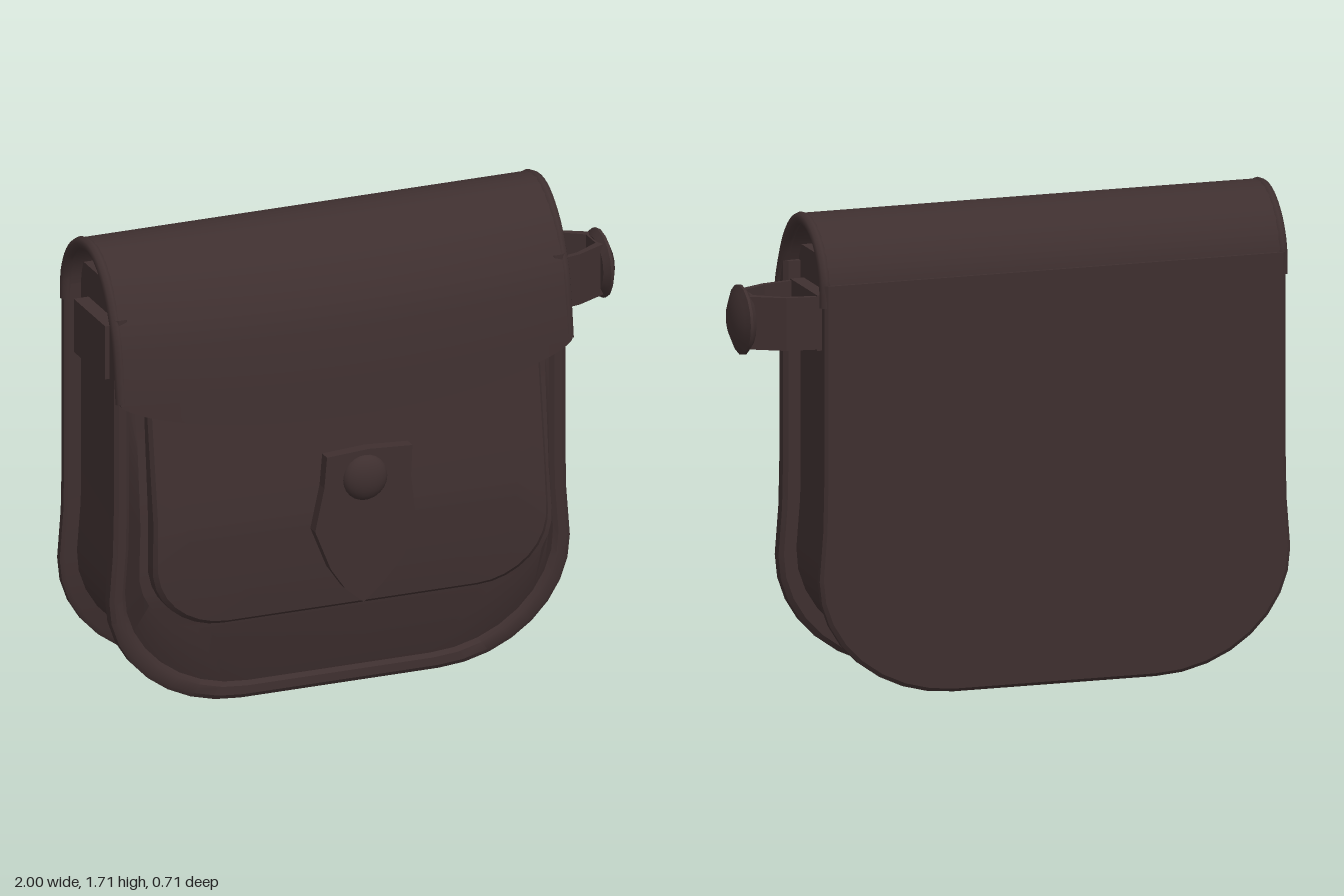
import * as THREE from 'three';
import { toCreasedNormals } from 'three/addons/utils/BufferGeometryUtils.js';

const leather = new THREE.MeshStandardMaterial({ color: 0x3e2f2f });
leather.name = 'dark brown leather';
const CX = -0.12; // middle of the bag, the side loop sticks out to +x

function add(group, name, geometry, x = 0, y = 0, z = 0) {
  const mesh = new THREE.Mesh(geometry, leather);
  mesh.name = name;
  mesh.position.set(x, y, z);
  group.add(mesh);
  return mesh;
}

function build(points, index) {
  const g = new THREE.BufferGeometry();
  g.setAttribute('position', new THREE.Float32BufferAttribute(points.flat(), 3));
  g.setIndex(index);
  return toCreasedNormals(g, 0.6);
}

// U-shaped outline, from top left round the bottom to top right
function outline(half, bottom, top, rx, ry) {
  const left = [];
  for (let i = 0; i < 6; i++) left.push([half, top + (bottom + ry - top) * i / 6]);
  for (let i = 0; i <= 8; i++) {
    const a = i / 8 * Math.PI / 2;
    left.push([half - rx + rx * Math.cos(a), bottom + ry - ry * Math.sin(a)]);
  }
  const waist = ([x, y]) => [x - 0.018 * THREE.MathUtils.smoothstep(y, 0.4, 0.7), y];
  const side = left.map(waist);
  return [...side.map(([x, y]) => [CX - x, y]), ...side.reverse().map(([x, y]) => [CX + x, y])];
}

// Joins outlines placed at rising z, with caps at both ends
function loft(rings) {
  const n = rings[0][0].length, points = [], index = [];
  for (const [pts, z] of rings)
    for (const [x, y] of pts) points.push([x, y, typeof z === 'function' ? z(y) : z]);
  const quad = (a, b, c, d) => index.push(a, b, c, a, c, d);
  for (let k = 0; k < rings.length - 1; k++)
    for (let i = 0; i < n; i++) {
      const j = (i + 1) % n;
      quad(k * n + i, k * n + j, (k + 1) * n + j, (k + 1) * n + i);
    }
  const e = (rings.length - 1) * n;
  for (let i = 0; i < n / 2 - 1; i++) {
    quad(e + i, e + i + 1, e + n - 2 - i, e + n - 1 - i);
    quad(n - 1 - i, n - 2 - i, i + 1, i);
  }
  return build(points, index);
}

// Side profile of the flap as (z, y), from the back over the top to the front
const flapCurve = new THREE.SplineCurve([
  [-0.345, 1.42], [-0.335, 1.53], [-0.28, 1.63], [-0.19, 1.695], [-0.08, 1.71],
  [0.02, 1.675], [0.11, 1.6], [0.175, 1.5], [0.215, 1.4], [0.25, 1.2],
].map(([z, y]) => new THREE.Vector2(z, y)));

function flapPoint(u, v) {
  const p = flapCurve.getPoint(Math.min(v, 1));
  if (v > 1) {
    const drop = 0.35 * Math.pow(Math.max(0, 1 - Math.pow(Math.abs(u), 2.2)), 0.667) * (v - 1);
    p.set(0.25 + 0.09 * drop, 1.2 - drop);
  }
  p.x -= 0.045 * u * u * Math.max(0, p.x + 0.1) / 0.35;
  return [CX + 0.86 * u, p.y, p.x];
}

// Thick sheet bent over the top, its front edge cut to a curve
function flapGeometry() {
  const nu = 32, nv = 28, points = [], index = [], loop = 2 * (nv + 1);
  const quad = (a, b, c, d) => index.push(a, b, c, a, c, d);
  for (let i = 0; i <= nu; i++) {
    const u = Math.sin((i / nu - 0.5) * Math.PI);
    const outer = [];
    for (let j = 0; j <= nv; j++) outer.push(flapPoint(u, j / 20));
    const inner = outer.map(([x, y, z]) => {
      const d = new THREE.Vector2(-0.05 - z, Math.min(y, 1.4) - y).setLength(0.035);
      return [x, y + d.y, z + d.x];
    });
    points.push(...outer, ...inner.reverse());
  }
  for (let i = 0; i < nu; i++)
    for (let j = 0; j < loop; j++) {
      const k = (j + 1) % loop, a = i * loop, b = a + loop;
      quad(a + j, a + k, b + k, b + j);
    }
  const e = nu * loop;
  for (let j = 0; j < nv; j++) {
    const p = loop - 1 - j;
    quad(e + j, e + j + 1, e + p - 1, e + p);
    quad(p, p - 1, j + 1, j);
  }
  return build(points, index);
}

function extrude(pts, depth, hole) {
  const toV = (list) => list.map(([x, y]) => new THREE.Vector2(x, y));
  const shape = new THREE.Shape(toV(pts));
  if (hole) shape.holes.push(new THREE.Path(toV(hole)));
  return new THREE.ExtrudeGeometry(shape, { depth, bevelEnabled: false });
}

export function createModel() {
  const bag = new THREE.Group();
  bag.name = 'shoulderBag';

  // Body: back panel, recessed gusset, front panel with raised rim
  const rim = (inset, top = 1.5) =>
    outline(0.877 - inset, 0.005 + inset, top, 0.5 - inset * 0.5, 0.43 - inset * 0.5);
  add(bag, 'backPanel', loft([[rim(0.012), -0.352], [rim(0), -0.342], [rim(0), -0.318], [rim(0.015), -0.308]]));
  add(bag, 'gusset', loft([[rim(0.06, 1.56), -0.31], [rim(0.06, 1.56), 0.1]]));
  const pocket = (inset) => outline(0.765 - inset, 0.34 + inset, 1.45, 0.28, 0.26);
  add(bag, 'frontPanel', loft([
    [rim(0.015), 0.085], [rim(0), 0.1], [rim(0), 0.14], [rim(0.015), 0.15], [rim(0.045), 0.148],
    [rim(0.06), 0.135], [pocket(-0.03), (y) => 0.195 - 0.06 * THREE.MathUtils.smoothstep(y, 0.5, 1.4)],
  ]));

  // Front pocket, thinning toward the top under the flap
  const slope = (z) => (y) => z - 0.11 * Math.max(0, (y - 0.7) / 0.75);
  add(bag, 'frontPocket', loft([
    [pocket(0), 0.11], [pocket(0), slope(0.24)], [pocket(0.012), slope(0.255)], [pocket(0.12), slope(0.265)],
  ]));

  // Flap with piped ends
  add(bag, 'flap', flapGeometry());
  for (const s of [-1, 1]) {
    const path = [];
    for (let j = 0; j <= 20; j++) {
      const [x, y, z] = flapPoint(s, j / 20);
      const d = new THREE.Vector2(-0.05 - z, Math.min(y, 1.4) - y).setLength(0.018);
      path.push(new THREE.Vector3(x - s * 0.01, y + d.y, z + d.x));
    }
    add(bag, s > 0 ? 'leftFlapPiping' : 'rightFlapPiping',
      new THREE.TubeGeometry(new THREE.CatmullRomCurve3(path), 40, 0.022, 8));
  }

  // Clasp tongue and stud
  add(bag, 'claspTongue', extrude([
    [-0.24, 0.935], [-0.25, 0.82], [-0.285, 0.66], [-0.225, 0.51], [-0.17, 0.43], [-0.1, 0.37],
    [-0.03, 0.43], [0.05, 0.52], [0.1, 0.65], [0.08, 0.82], [0.085, 0.935], [-0.08, 0.945],
  ].reverse(), 0.045), 0, 0, 0.27);
  const stud = add(bag, 'claspStud', new THREE.SphereGeometry(0.085, 20, 12), -0.095, 0.84, 0.31);
  stud.scale.z = 0.55;

  // Strap mounts on both sides
  for (const [name, x] of [['leftMount', 0.7], ['rightMount', -0.945]])
    add(bag, name, new THREE.BoxGeometry(0.06, 0.2, 0.29), x, 1.345, -0.095);

  // Side loop with round button on the left
  const loop = (t) => [
    [0.7 + t, -0.06 + t], [0.84, -0.03 + t], [0.955 - t, 0.03 + t], [0.955 - t, 0.16 - t],
    [0.84, 0.225 - t], [0.7 + t, 0.245 - t],
  ];
  add(bag, 'sideLoop', extrude(loop(0), 0.19, loop(0.022)).rotateX(-Math.PI / 2), 0, 1.25, 0);
  const button = new THREE.LatheGeometry([
    [0, -0.02], [0.1, -0.02], [0.125, 0], [0.125, 0.01], [0.1, 0.022], [0.07, 0.036], [0, 0.04],
  ].map(([r, h]) => new THREE.Vector2(r, h)), 16).rotateZ(-Math.PI / 2);
  add(bag, 'loopButton', toCreasedNormals(button, 0.6), 0.96, 1.345, -0.095);

  return bag;
}
